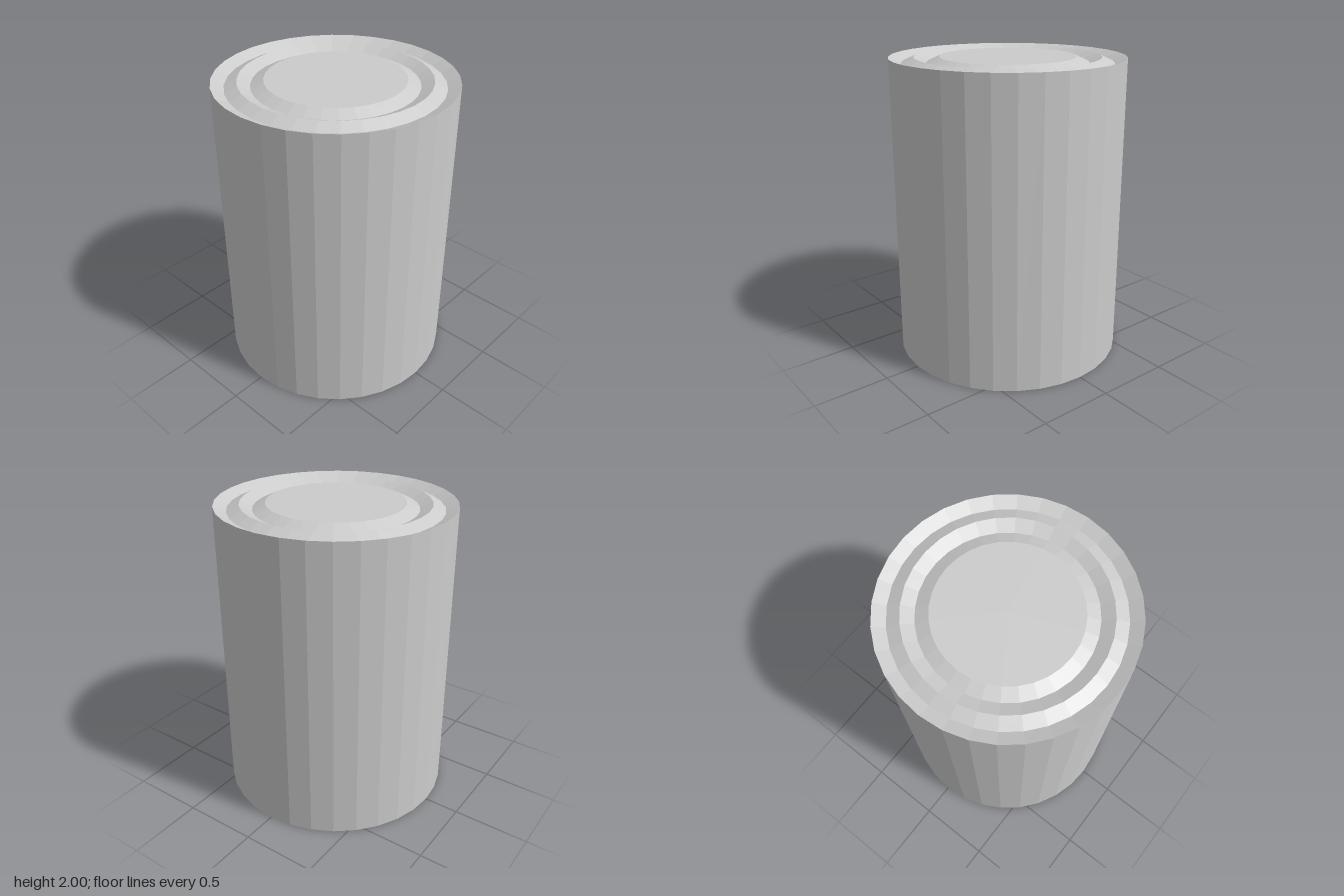
import * as THREE from 'three';

const SIDES = 32, HEIGHT = 2, RADIUS = 0.765, GROOVE = 0.037;

// End profile from the outer rim to the centre: two V-shaped ring grooves around a flat disc
const END = [
  [RADIUS, 0], [0.685, GROOVE], [0.605, 0], [0.525, GROOVE], [0.443, 0],
];

export function createModel() {
  const model = new THREE.Group();
  model.name = 'can';
  const material = new THREE.MeshStandardMaterial({ color: 0xcccccc, flatShading: true });

  const add = (parent, name, geometry) => {
    const mesh = new THREE.Mesh(geometry, material);
    mesh.name = name;
    parent.add(mesh);
    return mesh;
  };

  // Straight faceted wall
  const wall = add(model, 'wall', new THREE.CylinderGeometry(RADIUS, RADIUS, HEIGHT, SIDES, 1, true));
  wall.position.y = HEIGHT / 2;

  // Identical grooved ends, the bottom one turned over
  for (const [name, y, turn] of [['topEnd', HEIGHT, 0], ['bottomEnd', 0, Math.PI]]) {
    const end = new THREE.Group();
    end.name = name;
    end.position.y = y;
    end.rotation.x = turn;
    model.add(end);

    const profile = END.map(([r, depth]) => new THREE.Vector2(r, -depth));
    add(end, 'grooves', new THREE.LatheGeometry(profile, SIDES));

    const disc = add(end, 'disc', new THREE.CircleGeometry(END.at(-1)[0], SIDES));
    disc.rotation.x = -Math.PI / 2;
  }

  return model;
}
